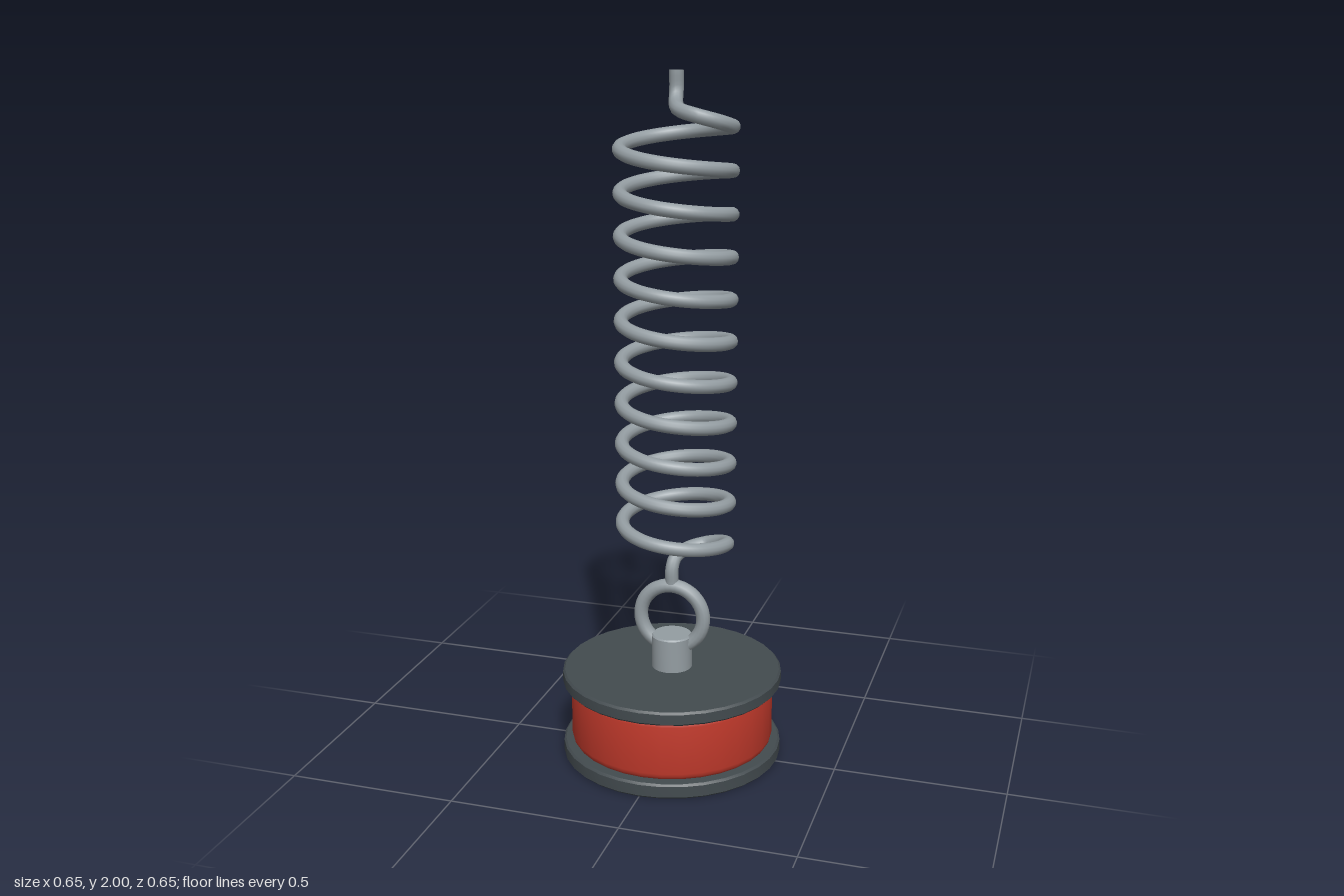
import * as THREE from 'three';
import { toCreasedNormals } from 'three/addons/utils/BufferGeometryUtils.js';

export function createModel() {
  const group = new THREE.Group();
  const material = (name, color, side = THREE.FrontSide) => {
    const m = new THREE.MeshStandardMaterial({ color, side });
    m.name = name;
    return m;
  };
  const steel = material('steel grey', 0x949da2, THREE.DoubleSide); // open wire ends
  const dark = material('dark slate', 0x434b4f);
  const red = material('red', 0xc0392b);

  const add = (name, geometry, mat) => {
    const mesh = new THREE.Mesh(geometry, mat);
    mesh.name = name;
    group.add(mesh);
    return mesh;
  };

  // Solid of revolution with rounded rims, from y0 to y1
  function roundedDisc(name, radius, y0, y1, bevel, steps, mat) {
    const points = [new THREE.Vector2(0, y0)];
    for (const [cy, start] of [[y0 + bevel, -Math.PI / 2], [y1 - bevel, 0]]) {
      for (let i = 0; i <= steps; i++) {
        const a = start + (i / steps) * Math.PI / 2;
        points.push(new THREE.Vector2(radius - bevel + bevel * Math.cos(a), cy + bevel * Math.sin(a)));
      }
    }
    points.push(new THREE.Vector2(0, y1));
    return add(name, toCreasedNormals(new THREE.LatheGeometry(points, 32), 0.6), mat);
  }

  // Weight: red drum between two dark plates
  roundedDisc('bottomPlate', 0.325, 0, 0.045, 0.006, 1, dark);
  roundedDisc('drum', 0.3, 0.04, 0.235, 0.025, 4, red);
  roundedDisc('topPlate', 0.325, 0.227, 0.268, 0.006, 1, dark);

  // Stem and hanging ring
  roundedDisc('stem', 0.06, 0.26, 0.37, 0.004, 1, steel);
  add('ring', new THREE.TorusGeometry(0.096, 0.021, 12, 40), steel).position.set(0, 0.425, 0);

  // Spring wire: lower hook, ten turns, upper hook
  const turns = 10, perTurn = 16, radius = 0.155, pitch = 0.119, startY = 0.667;
  const path = [
    [0, 0.53, 0], [0, 0.575, 0], [0.006, 0.606, -0.018], [0.03, 0.62, -0.064],
    [0.08, 0.632, -0.094], [0.137, 0.65, -0.066],
  ];
  for (let i = 0; i <= turns * perTurn; i++) {
    const t = i / perTurn, a = t * Math.PI * 2;
    path.push([0.01 + radius * Math.cos(a), startY + pitch * t, -0.005 + radius * Math.sin(a)]);
  }
  path.push(
    [0.143, 1.872, 0.05], [0.09, 1.888, 0.075], [0.035, 1.9, 0.047],
    [0.01, 1.915, -0.003], [0.005, 1.945, -0.025], [0.005, 2, -0.025],
  );
  const curve = new THREE.CatmullRomCurve3(path.map((p) => new THREE.Vector3(...p)));
  curve.arcLengthDivisions = 2000;
  add('spring', new THREE.TubeGeometry(curve, 800, 0.02, 12, false), steel);

  return group;
}
